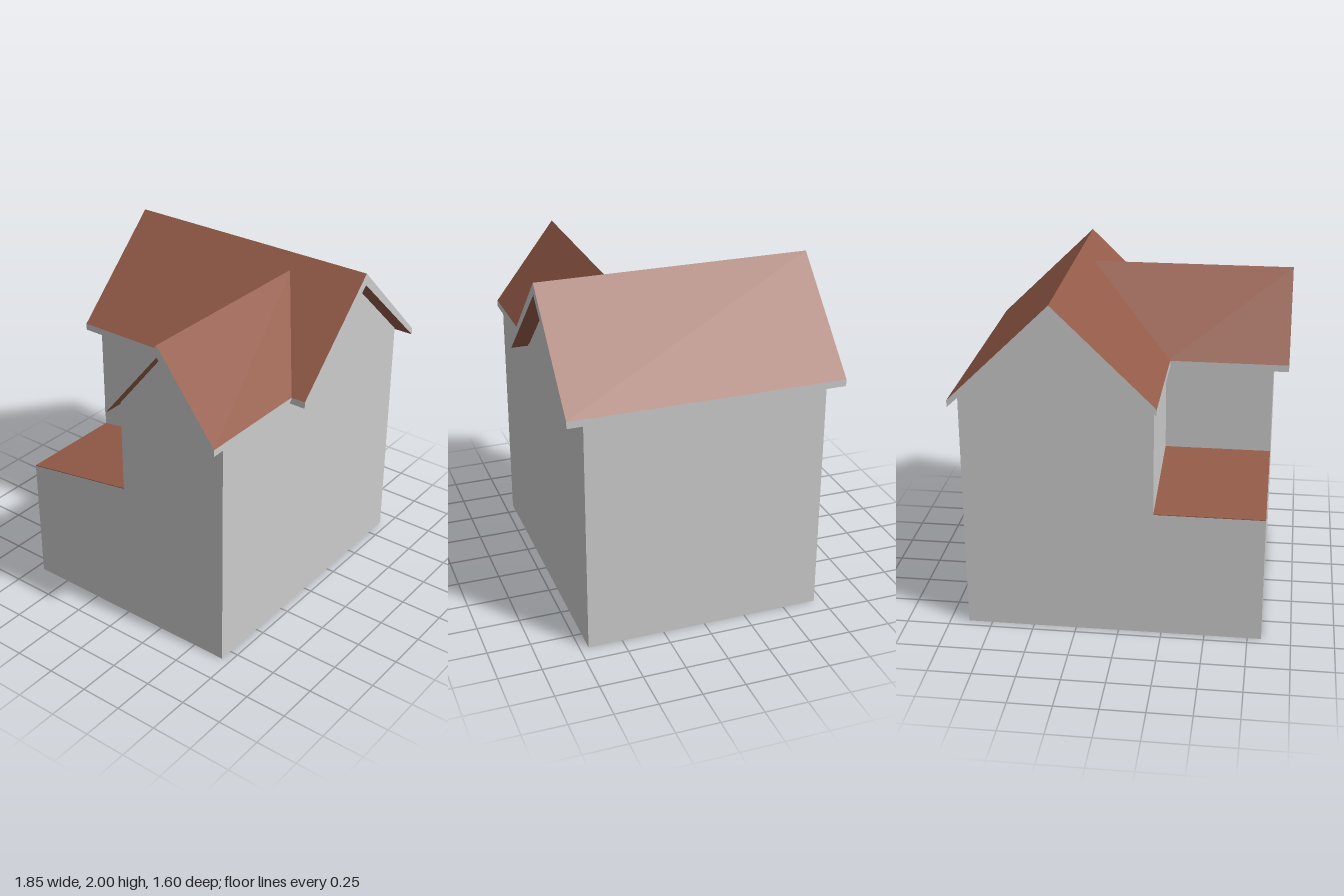
import * as THREE from 'three';

const wall = new THREE.MeshStandardMaterial({ color: 0xcccccc });
const tile = new THREE.MeshStandardMaterial({ color: 0x945b48 });

// Extrude a profile along z, from z0 to z1
function alongZ(points, z0, z1) {
  const shape = new THREE.Shape(points.map(p => new THREE.Vector2(...p)));
  const g = new THREE.ExtrudeGeometry(shape, { depth: z1 - z0, bevelEnabled: false });
  return g.translate(0, 0, z0);
}

// Extrude a (z, y) profile along x, from x0 to x1
function alongX(points, x0, x1) {
  return alongZ(points, 0, x1 - x0).rotateY(-Math.PI / 2).translate(x1, 0, 0);
}

function addMesh(parent, name, geometry, material) {
  const mesh = new THREE.Mesh(geometry, material);
  mesh.name = name;
  parent.add(mesh);
}

// Gabled slab profile: centre, half width, outer and inner ridge heights
function gable(c, w, top, under) {
  return [[c - w, 1.40], [c, under], [c + w, 1.40], [c + w, 1.44], [c, top], [c - w, 1.44]];
}

// Split a roof slab into sloping tiled faces and upright grey trim
function addRoof(parent, name, geometry) {
  const g = geometry.index ? geometry.toNonIndexed() : geometry;
  g.computeVertexNormals();
  const pos = g.attributes.position.array;
  const normal = g.attributes.normal;
  const tiles = [], trim = [];
  for (let i = 0; i < normal.count; i += 3) {
    const list = Math.abs(normal.getY(i)) > 0.1 ? tiles : trim;
    list.push(...pos.slice(i * 3, i * 3 + 9));
  }
  const group = new THREE.Group();
  group.name = name;
  for (const [label, list, mat] of [['Tiles', tiles, tile], ['Trim', trim, wall]]) {
    const part = new THREE.BufferGeometry();
    part.setAttribute('position', new THREE.Float32BufferAttribute(list, 3));
    part.computeVertexNormals();
    addMesh(group, name + label, part, mat);
  }
  parent.add(group);
}

export function createModel() {
  const house = new THREE.Group();
  house.name = 'house';

  // Main block with its gables at front and back
  addMesh(house, 'mainWalls', alongZ(
    [[-0.2, 0], [0.89, 0], [0.89, 1.425], [0.35, 1.928], [-0.2, 1.415]], -0.7, 0.7), wall);

  // Side wing with its gable on the right
  addMesh(house, 'wingWalls', alongX(
    [[0, 0], [0.7, 0], [0.7, 1.41], [0.34, 1.853], [0, 1.435]], -0.83, -0.2), wall);

  // Low lean-to filling the back right corner
  addMesh(house, 'leanToWalls', alongX(
    [[-0.7, 0], [0, 0], [0, 0.875], [-0.7, 0.762]], -0.83, -0.2), wall);
  addMesh(house, 'leanToRoof', alongX(
    [[-0.7, 0.762], [0, 0.875], [0, 0.879], [-0.7, 0.766]], -0.83, -0.2), tile);

  // Main roof, ridge running front to back
  addRoof(house, 'mainRoof', alongZ(gable(0.35, 0.575, 2, 1.93), -0.8, 0.8));

  // Wing roof, its inner end cut to meet the main slope in two valleys
  const wingRoof = alongX(gable(0.34, 0.372, 1.925, 1.855), -0.92, 0);
  const p = wingRoof.attributes.position;
  for (let i = 0; i < p.count; i++) {
    if (p.getX(i) > -0.5) p.setX(i, 0.36 - (2 - p.getY(i)) / 0.975);
  }
  addRoof(house, 'wingRoof', wingRoof);

  return house;
}
